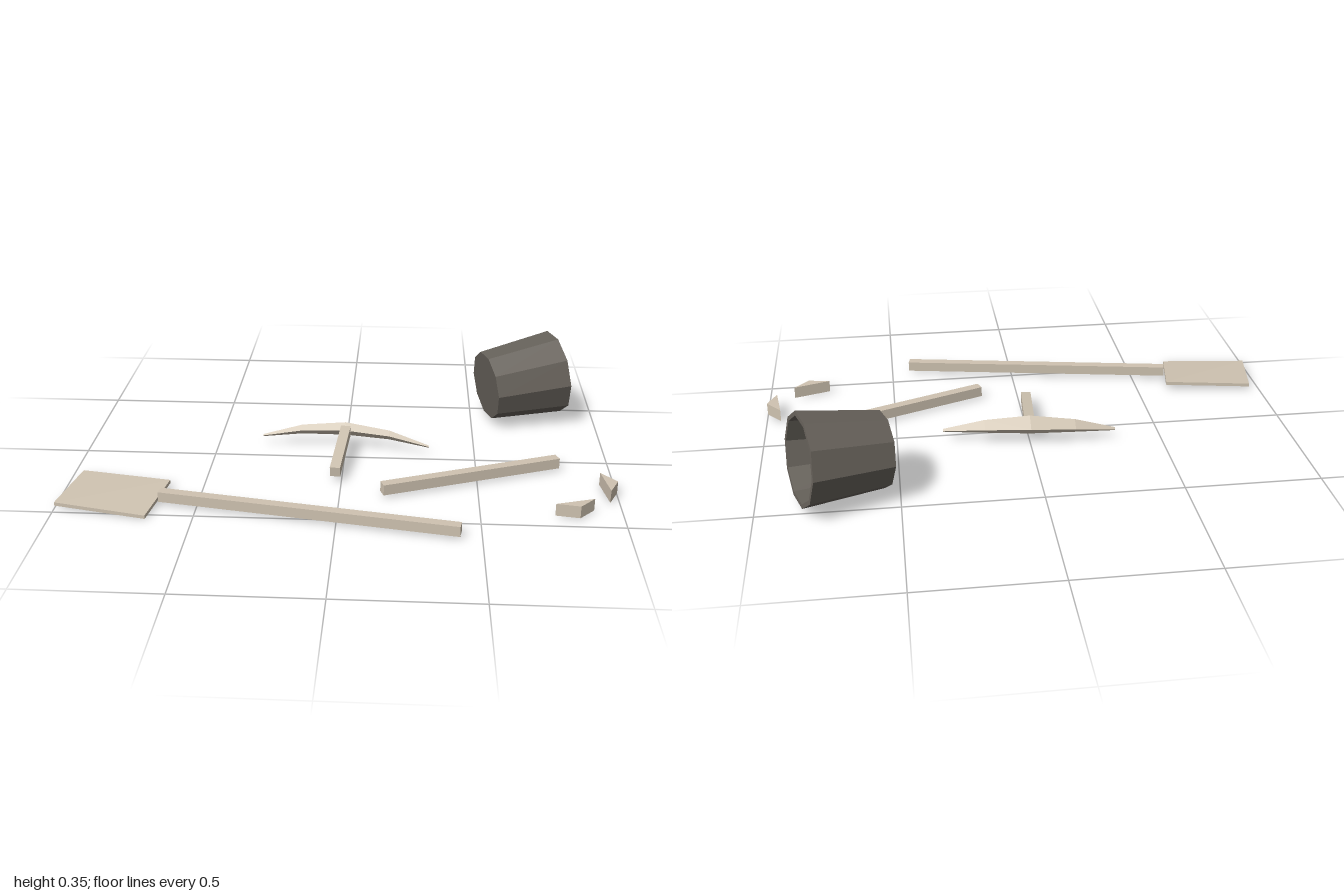
import * as THREE from 'three';

const wood = new THREE.MeshStandardMaterial({ color: 0xcfc3b1, flatShading: true });
wood.name = 'pale wood';
const dark = new THREE.MeshStandardMaterial({ color: 0x66615a, flatShading: true });
dark.name = 'dark bucket';

// Solid through equal rings of [x, y, z]; rings run counter-clockwise seen from the last one
function loft(name, rings) {
  const pos = [];
  const tri = (...pts) => pts.forEach((p) => pos.push(...p));
  const n = rings[0].length;
  for (let k = 0; k < rings.length - 1; k++) {
    const a = rings[k], b = rings[k + 1];
    for (let i = 0; i < n; i++) {
      const j = (i + 1) % n;
      tri(a[i], a[j], b[j]);
      tri(a[i], b[j], b[i]);
    }
  }
  const first = rings[0], last = rings[rings.length - 1];
  for (let i = 1; i < n - 1; i++) {
    tri(first[0], first[i + 1], first[i]);
    tri(last[0], last[i], last[i + 1]);
  }
  const geo = new THREE.BufferGeometry();
  geo.setAttribute('position', new THREE.Float32BufferAttribute(pos, 3));
  geo.computeVertexNormals();
  const mesh = new THREE.Mesh(geo, wood);
  mesh.name = name;
  return mesh;
}

// Upright slab from its bottom corners
const slab = (name, corners, thickness) =>
  loft(name, [corners, corners.map(([x, y, z]) => [x, y + thickness, z])]);

// Square bar between two points
function bar(name, from, to, width, height) {
  const a = new THREE.Vector3(...from), b = new THREE.Vector3(...to);
  const mesh = new THREE.Mesh(new THREE.BoxGeometry(width, height, a.distanceTo(b)), wood);
  mesh.position.copy(a).lerp(b, 0.5);
  mesh.lookAt(b);
  mesh.name = name;
  return mesh;
}

function group(name, ...parts) {
  const g = new THREE.Group();
  g.name = name;
  g.add(...parts);
  return g;
}

// Curved head, leaning back, tapering to both tips
function pickHead() {
  const stations = [ // x, drop from the crown, half width, half thickness
    [-0.325, 0.05, 0.005, 0.003],
    [-0.17, 0.014, 0.021, 0.012],
    [0, 0, 0.0295, 0.017],
    [0.17, 0.014, 0.021, 0.012],
    [0.325, 0.05, 0.005, 0.003],
  ];
  const rings = stations.map(([x, drop, hw, ht]) =>
    [[-hw, ht], [-hw, -ht], [hw, -ht], [hw, ht]].map(([w, t]) => {
      const v = t - drop;
      return [x, 0.0765 - 0.645 * w + 0.764 * v, -0.0975 + 0.108 * x - 0.764 * w - 0.645 * v];
    }));
  return loft('pickHead', rings);
}

// Ten-sided hollow bucket lying on its side
function bucket() {
  const base = new THREE.Vector3(0.555, 0.16, -0.37);
  const rim = new THREE.Vector3(0.835, 0.19, -0.465);
  const h = base.distanceTo(rim);
  const profile = [[0, 0], [0.138, 0], [0.168, h], [0.152, h], [0.125, 0.02], [0, 0.02]]
    .map(([r, y]) => new THREE.Vector2(r, y));
  const mesh = new THREE.Mesh(new THREE.LatheGeometry(profile, 10), dark);
  const axis = rim.clone().sub(base).normalize();
  const side = new THREE.Vector3(-axis.z, 0, axis.x).normalize();
  const up = new THREE.Vector3().crossVectors(axis, side);
  mesh.quaternion.setFromRotationMatrix(new THREE.Matrix4().makeBasis(up, axis, side));
  mesh.position.copy(base);
  mesh.name = 'bucket';
  return mesh;
}

export function createModel() {
  return group('abandonedTools',
    group('shovel',
      bar('shovelHandle', [-0.635, 0.031, 0.407], [0.427, 0.031, 0.597], 0.036, 0.038),
      slab('shovelBlade', [[-1, 0.01, 0.47], [-0.665, 0, 0.53], [-0.62, 0.018, 0.29], [-0.955, 0.018, 0.23]], 0.013)),
    group('pickaxe',
      bar('pickHandle', [0.002, 0.08, -0.09], [-0.023, 0.041, 0.212], 0.038, 0.038),
      pickHead()),
    bar('loosePole', [0.153, 0.032, 0.314], [0.805, 0.032, 0.058], 0.037, 0.04),
    slab('woodChip', [[0.945, 0.006, 0.19], [0.965, 0.006, 0.33], [1, 0.006, 0.255]], 0.048),
    slab('woodChip', [[0.76, 0.006, 0.435], [0.845, 0.006, 0.45], [0.9, 0.006, 0.39]], 0.046),
    bucket());
}
